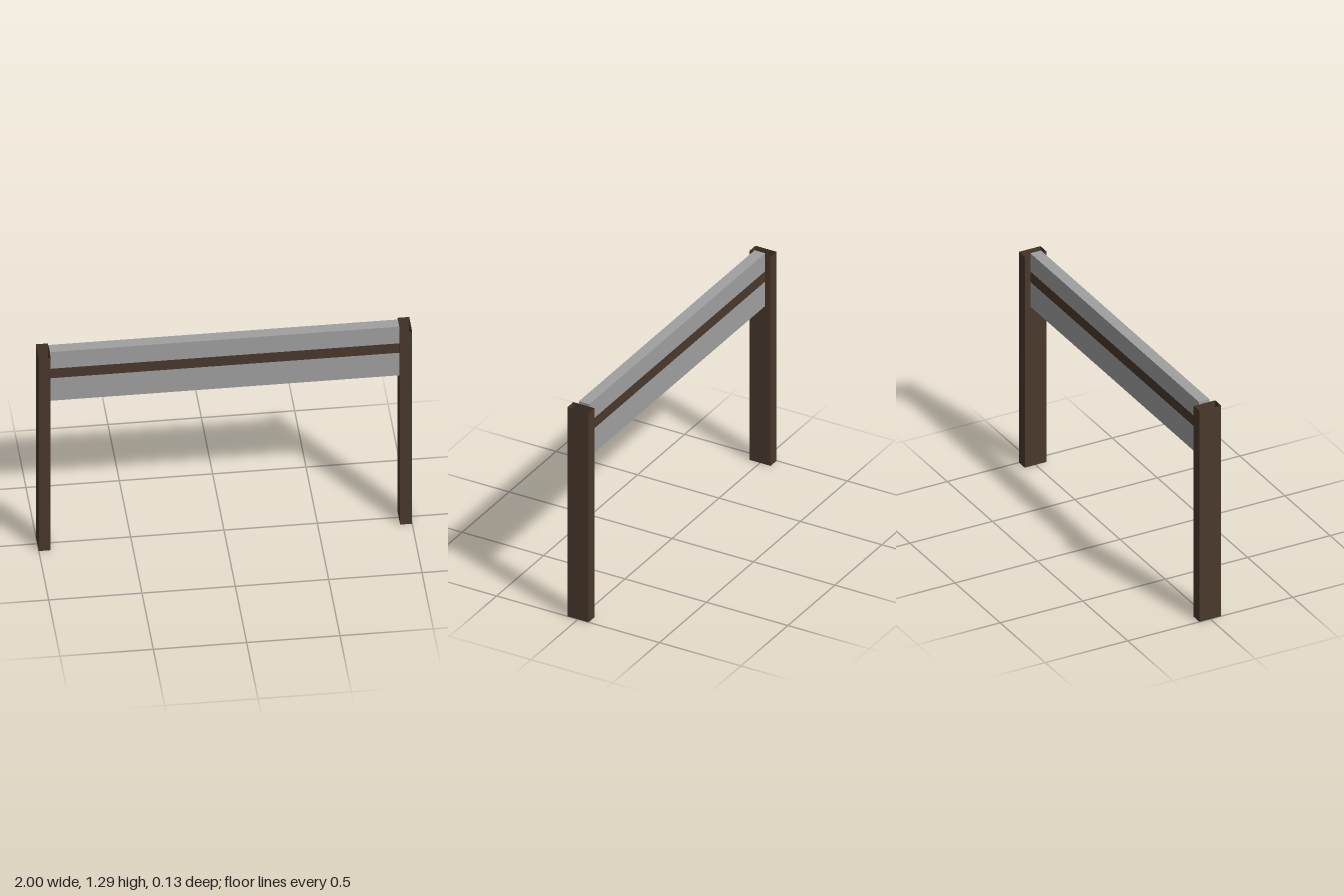
import * as THREE from 'three';

const wood = new THREE.MeshStandardMaterial({ color: 0x4a392c, side: THREE.DoubleSide });
wood.name = 'dark wood';
const grey = new THREE.MeshStandardMaterial({ color: 0xa0a0a0 });
grey.name = 'grey panel';

// Box tube without its top and bottom faces
function openTube(w, h, d) {
  const g = new THREE.BoxGeometry(w, h, d);
  const index = Array.from(g.index.array);
  g.setIndex([...index.slice(0, 12), ...index.slice(24)]);
  g.clearGroups();
  return g;
}

export function createModel() {
  const model = new THREE.Group();
  model.name = 'barrier';

  // Hollow posts, open at both ends
  const postHeight = 1.28;
  for (const [name, side] of [['leftPost', 1], ['rightPost', -1]]) {
    const post = new THREE.Mesh(openTube(0.064, postHeight, 0.13), wood);
    post.name = name;
    post.position.set(side * 0.968, postHeight / 2, 0);
    model.add(post);
  }

  // Crossbeam in three flush bands, ending just short of the post walls
  const bands = [
    ['lowerPanel', 0.97, 1.12, grey],
    ['middleStripe', 1.12, 1.183, wood],
    ['upperPanel', 1.183, 1.294, grey],
  ];
  for (const [name, bottom, top, material] of bands) {
    const band = new THREE.Mesh(new THREE.BoxGeometry(1.87, top - bottom, 0.064), material);
    band.name = name;
    band.position.y = (bottom + top) / 2;
    model.add(band);
  }

  return model;
}
